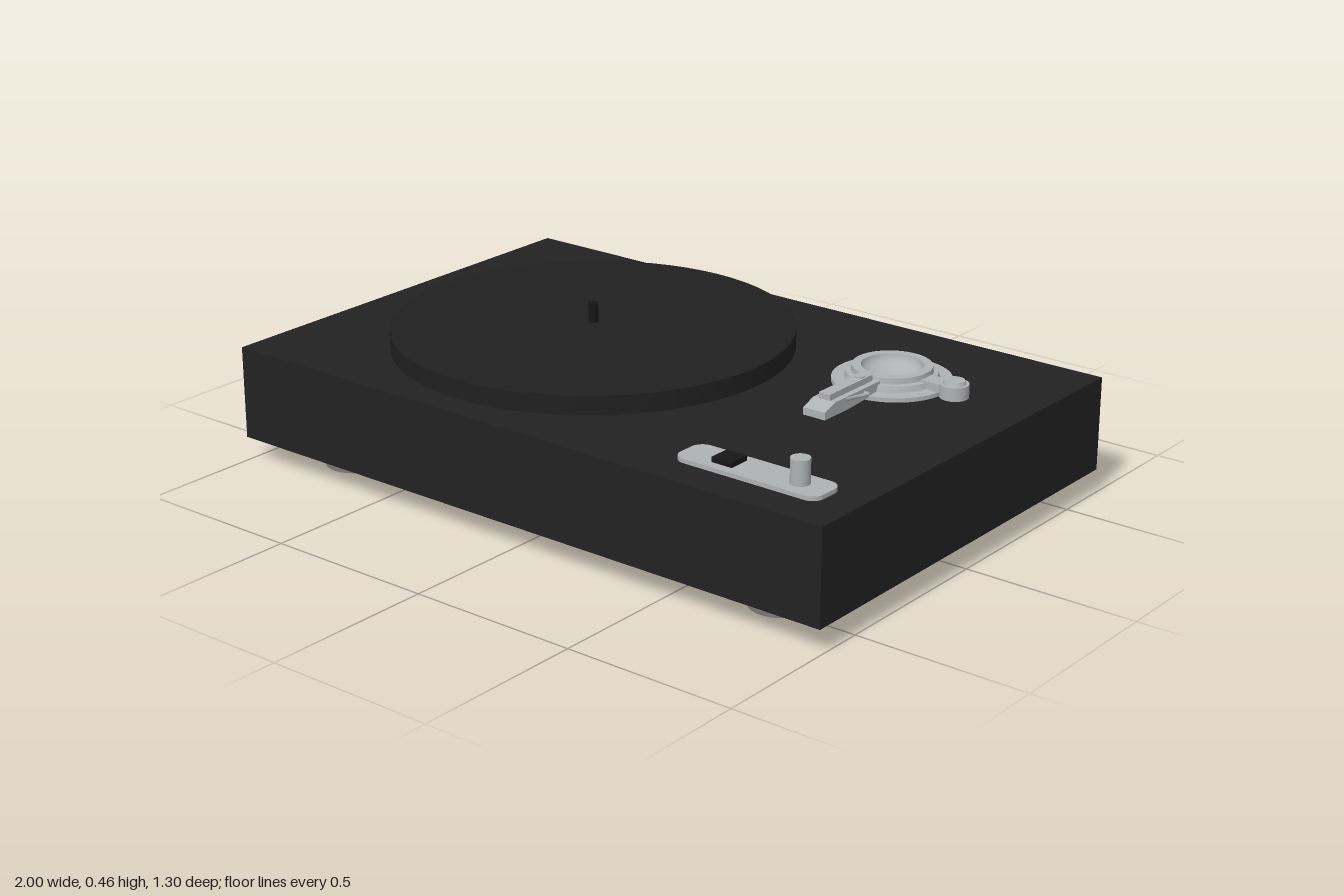
import * as THREE from 'three';

const mat = (name, color, side = THREE.FrontSide) => {
  const m = new THREE.MeshStandardMaterial({ color, side });
  m.name = name;
  return m;
};

export function createModel() {
  const root = new THREE.Group();
  root.name = 'turntable';
  const black = mat('black casing', 0x222222);
  const dark = mat('black platter', 0x202020);
  const jet = mat('jet black', 0x161616);
  const silver = mat('silver metal', 0xaeb2b2);
  const rubber = mat('grey foot', 0x7c7775);

  const add = (name, geo, material, x, y, z, parent = root) => {
    const mesh = new THREE.Mesh(geo, material);
    mesh.name = name;
    mesh.position.set(x, y, z);
    parent.add(mesh);
    return mesh;
  };
  const box = (name, m, x0, x1, y0, y1, z0, z1, parent) => add(name,
    new THREE.BoxGeometry(x1 - x0, y1 - y0, z1 - z0), m,
    (x0 + x1) / 2, (y0 + y1) / 2, (z0 + z1) / 2, parent);
  const cyl = (name, m, r, y0, y1, x, z, parent, rTop = r) => add(name,
    new THREE.CylinderGeometry(rTop, r, y1 - y0, 48), m, x, (y0 + y1) / 2, z, parent);
  // Revolved profile with crisp corners: each segment has its own normals
  const turned = (name, m, profile, x, z, parent) => {
    const g = new THREE.Group();
    g.name = name;
    g.position.set(x, 0, z);
    for (let i = 0; i < profile.length - 1; i++) {
      const pts = [profile[i], profile[i + 1]].map(p => new THREE.Vector2(...p));
      add(name + 'Face', new THREE.LatheGeometry(pts, 64), m, 0, 0, 0, g);
    }
    (parent || root).add(g);
  };

  // Plinth and feet
  box('plinth', black, -1, 1, 0.07, 0.34, -0.65, 0.65);
  for (const x of [-0.75, 0.75]) for (const z of [-0.47, 0.47]) cyl('foot', rubber, 0.085, 0, 0.07, x, z);

  // Platter, faintly raised towards its centre, and spindle
  turned('platter', dark, [[0.57, 0.34], [0.57, 0.395], [0.28, 0.398], [0, 0.402]], -0.26, 0);
  cyl('spindle', jet, 0.014, 0.395, 0.458, -0.26, 0);

  // Tonearm mount: stepped rings around a hollow dish
  const mount = new THREE.Group();
  mount.name = 'tonearmMount';
  root.add(mount);
  const mx = 0.57, mz = -0.27;
  turned('mountRings', silver, [
    [0.165, 0.34], [0.165, 0.352], [0.13, 0.354], [0.125, 0.37], [0.112, 0.372],
    [0.11, 0.388], [0.085, 0.388],
  ], mx, mz, mount);
  const bowl = [];
  for (let i = 0; i <= 10; i++) {
    const a = (i / 10) * Math.PI / 2;
    bowl.push(new THREE.Vector2(0.085 * Math.cos(a), 0.388 - 0.045 * Math.sin(a)));
  }
  add('mountDish', new THREE.LatheGeometry(bowl, 48), silver, mx, 0, mz, mount);

  // Side post with its bridge
  box('postBridge', silver, 0.672, 0.775, 0.352, 0.376, -0.295, -0.245, mount);
  cyl('sidePost', silver, 0.04, 0.342, 0.38, 0.77, mz, mount);
  cyl('sidePostCap', silver, 0.032, 0.38, 0.39, 0.77, mz, mount, 0.028);

  // Short arm with sloping nose, its side profile extruded across x
  const side = new THREE.Shape([
    [-0.09, 0.343], [-0.09, 0.364], [-0.045, 0.38], [0.16, 0.38], [0.17, 0.352], [0.02, 0.343],
  ].map(p => new THREE.Vector2(...p)));
  const armGeo = new THREE.ExtrudeGeometry(side, { depth: 0.07, bevelEnabled: false });
  armGeo.rotateY(Math.PI / 2);
  add('armRest', armGeo, silver, 0.535, 0, 0, mount);
  box('armRidge', silver, 0.552, 0.588, 0.38, 0.397, -0.15, 0.045, mount);
  cyl('armPivot', silver, 0.014, 0.38, 0.401, 0.57, -0.115, mount);

  // Thin lift lever beside the arm
  const path = new THREE.CatmullRomCurve3([
    [0.6, 0.366, -0.09], [0.622, 0.37, -0.085], [0.618, 0.376, -0.03], [0.627, 0.388, 0.03],
  ].map(p => new THREE.Vector3(...p)));
  add('liftLever', new THREE.TubeGeometry(path, 16, 0.005, 8), silver, 0, 0, 0, mount);

  // Control strip with rounded ends, button and knob
  const w = 0.2225, h = 0.0575, r = 0.035;
  const strip = new THREE.Shape();
  strip.absarc(w - r, h - r, r, 0, Math.PI / 2);
  strip.absarc(-w + r, h - r, r, Math.PI / 2, Math.PI);
  strip.absarc(-w + r, -h + r, r, Math.PI, Math.PI * 1.5);
  strip.absarc(w - r, -h + r, r, Math.PI * 1.5, Math.PI * 2);
  const stripGeo = new THREE.ExtrudeGeometry(strip, { depth: 0.012, bevelEnabled: false });
  stripGeo.rotateX(-Math.PI / 2);
  add('controlStrip', stripGeo, silver, 0.682, 0.34, 0.487);
  box('powerButton', jet, 0.563, 0.627, 0.345, 0.366, 0.453, 0.517);
  cyl('speedKnob', silver, 0.026, 0.35, 0.42, 0.816, 0.487);

  return root;
}
